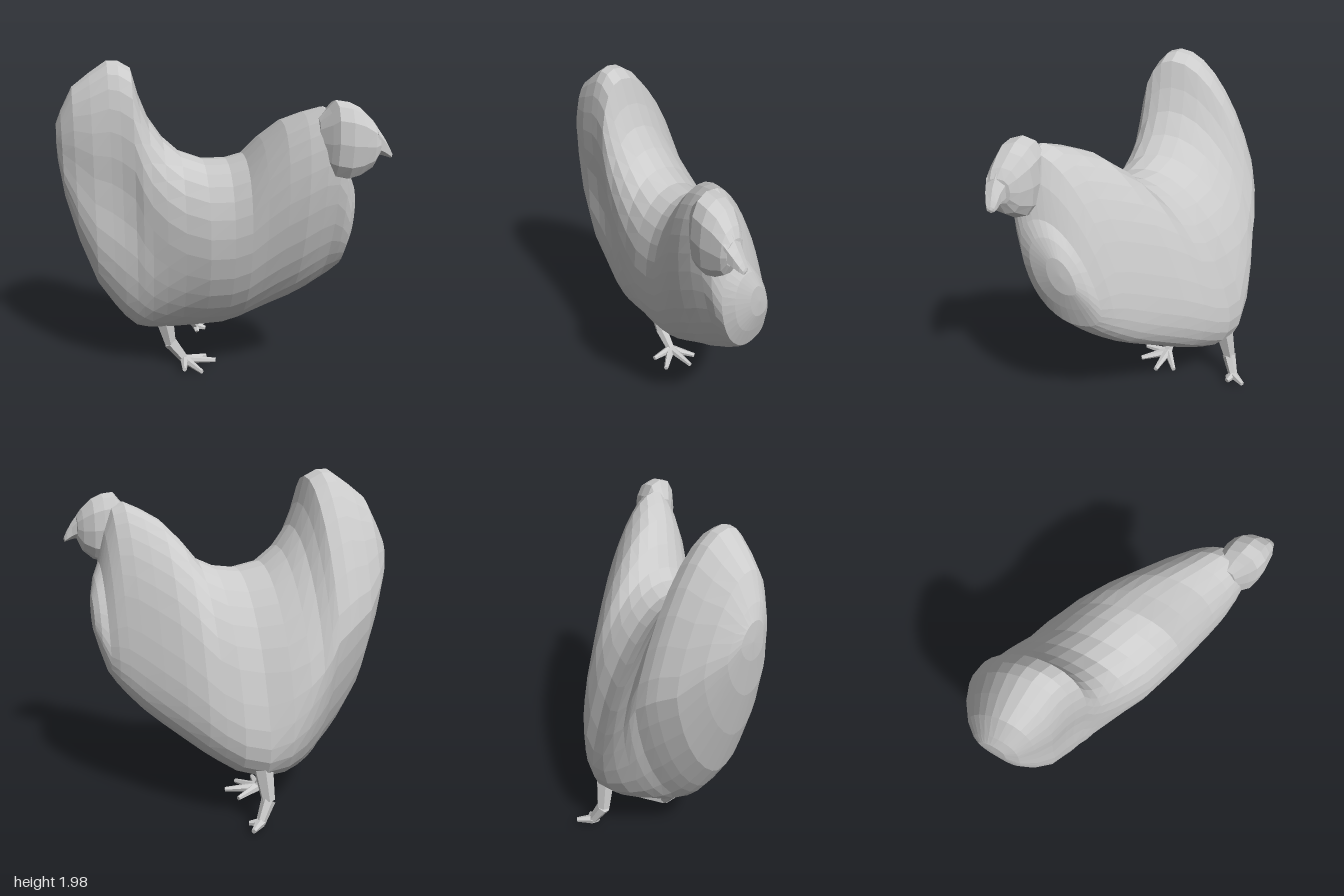
import * as THREE from 'three';

const material = new THREE.MeshStandardMaterial({ color: 0xcccccc, flatShading: true });
const power = (v, p) => Math.sign(v) * Math.abs(v) ** p;
const { clamp, smoothstep, lerp } = THREE.MathUtils;

// Skin over upright cross-sections [x, yMin, yMax, zMin, zMax].
// leanAt(x, c) shears the upper and lower half sideways.
// roundness(x, c, s) gives the exponent of each quadrant (1 is an ellipse, 2 a straight chamfer).
function loft(name, stations, sides, leanAt, taper, roundness) {
  const pos = [], index = [];
  for (const [x, y0, y1, z0, z1] of stations) {
    const h = (y1 - y0) / 2, half = (z1 - z0) / 2;
    const ring = [];
    for (let j = 0; j < sides; j++) {
      const a = (j / sides) * Math.PI * 2, c = Math.cos(a), s = Math.sin(a);
      const p = roundness(x, c, s), cy = power(c, p);
      ring.push({ y: h * cy, shear: leanAt(x, c) * h * cy, s: power(s, p) * (1 - taper * cy) });
    }
    // Widest half-sections that stay inside zMin..zMax
    const fit = side => Math.min(...ring.filter(r => r.s * side > 0.2)
      .map(r => (half - side * r.shear) / (r.s * side)));
    const front = fit(1), back = fit(-1);
    for (const r of ring) {
      pos.push(x, (y0 + y1) / 2 + r.y, (z0 + z1) / 2 + r.shear + r.s * (r.s > 0 ? front : back));
    }
  }
  const n = stations.length;
  for (let i = 0; i < n - 1; i++) {
    for (let j = 0; j < sides; j++) {
      const a = i * sides + j, b = i * sides + (j + 1) % sides;
      index.push(a, b, a + sides, b, b + sides, a + sides);
    }
  }
  // End caps
  for (const i of [0, n - 1]) {
    const [x, y0, y1, z0, z1] = stations[i];
    const centre = pos.length / 3;
    pos.push(x + (i ? 0.005 : -0.005), (y0 + y1) / 2, (z0 + z1) / 2);
    for (let j = 0; j < sides; j++) {
      const a = i * sides + j, b = i * sides + (j + 1) % sides;
      if (i) index.push(centre, a, b);
      else index.push(centre, b, a);
    }
  }
  const geometry = new THREE.BufferGeometry();
  geometry.setAttribute('position', new THREE.Float32BufferAttribute(pos, 3));
  geometry.setIndex(index);
  geometry.computeVertexNormals();
  const mesh = new THREE.Mesh(geometry, material);
  mesh.name = name;
  return mesh;
}

// Tapered low-poly rod between two points
function rod(name, from, to, r0, r1) {
  const a = new THREE.Vector3(...from), b = new THREE.Vector3(...to);
  const dir = b.clone().sub(a);
  const mesh = new THREE.Mesh(new THREE.CylinderGeometry(r1, r0, dir.length(), 6), material);
  mesh.position.copy(a).add(b).multiplyScalar(0.5);
  mesh.quaternion.setFromUnitVectors(new THREE.Vector3(0, 1, 0), dir.normalize());
  mesh.name = name;
  return mesh;
}

function makeLeg(name, hip, knee, ankle, toes) {
  const leg = new THREE.Group();
  leg.name = name;
  leg.add(rod('thigh', hip, knee, 0.06, 0.04));
  leg.add(rod('shank', knee, ankle, 0.042, 0.028));
  for (const tip of toes) leg.add(rod('toe', ankle, tip, 0.03, 0.014));
  return leg;
}

// The body leans throughout, except low at the rear where the rump tucks forward
const bodyLean = (x, c) => (c > 0 ? 0.26 + 0.09 * x : clamp(0.28 + 0.9 * (x + 0.1), -0.06, 0.3));

// Lower back edge: chamfered under the tail, square under the breast
const bodyRoundness = (x, c, s) =>
  (c < 0 && s < 0 ? lerp(1.25, 0.72, smoothstep(x, -0.45, 0)) : 0.95);

export function createModel() {
  const model = new THREE.Group();
  model.name = 'hen';

  // Body from raised tail, over the saddle, to neck and breast
  model.add(loft('body', [
    [-0.88, 1.40, 1.62, -0.27, -0.11],
    [-0.85, 1.18, 1.70, -0.33, -0.05],
    [-0.78, 0.90, 1.84, -0.42, 0.01],
    [-0.68, 0.61, 1.92, -0.51, 0.06],
    [-0.58, 0.45, 1.99, -0.56, 0.09],
    [-0.52, 0.37, 1.99, -0.58, 0.11],
    [-0.45, 0.30, 1.95, -0.59, 0.14],
    [-0.41, 0.28, 1.80, -0.60, 0.16],
    [-0.36, 0.26, 1.67, -0.60, 0.18],
    [-0.28, 0.25, 1.55, -0.61, 0.22],
    [-0.18, 0.25, 1.46, -0.61, 0.27],
    [-0.05, 0.26, 1.42, -0.59, 0.34],
    [0.08, 0.29, 1.43, -0.54, 0.39],
    [0.17, 0.34, 1.47, -0.48, 0.43],
    [0.25, 0.39, 1.58, -0.42, 0.47],
    [0.35, 0.46, 1.69, -0.32, 0.52],
    [0.45, 0.53, 1.75, -0.21, 0.56],
    [0.54, 0.60, 1.79, -0.11, 0.58],
    [0.61, 0.67, 1.76, -0.03, 0.58],
    [0.66, 0.73, 1.62, 0.03, 0.56],
    [0.70, 0.79, 1.43, 0.09, 0.52],
    [0.74, 0.92, 1.35, 0.14, 0.46],
    [0.77, 1.03, 1.25, 0.20, 0.36],
  ], 30, bodyLean, 0.1, bodyRoundness));

  // Head with a low comb line and cheeks
  const upright = () => 0;
  model.add(loft('head', [
    [0.50, 1.50, 1.74, 0.42, 0.54],
    [0.55, 1.44, 1.80, 0.39, 0.60],
    [0.58, 1.42, 1.84, 0.39, 0.63],
    [0.65, 1.41, 1.83, 0.40, 0.65],
    [0.71, 1.43, 1.80, 0.42, 0.65],
    [0.77, 1.48, 1.74, 0.47, 0.65],
    [0.80, 1.55, 1.69, 0.51, 0.64],
  ], 12, upright, 0, () => 0.8));

  // Hooked beak
  model.add(loft('beak', [
    [0.78, 1.56, 1.72, 0.52, 0.64],
    [0.83, 1.55, 1.65, 0.55, 0.63],
    [0.86, 1.54, 1.60, 0.56, 0.62],
    [0.875, 1.535, 1.57, 0.57, 0.61],
  ], 6, upright, 0, () => 1));

  // Legs with spread toes
  model.add(makeLeg('leftLeg', [-0.27, 0.32, -0.12], [-0.24, 0.17, -0.12], [-0.15, 0.045, -0.11],
    [[-0.06, 0.03, 0.05], [0.05, 0.04, -0.07], [0.0, 0.02, -0.18], [-0.17, 0.05, 0.04]]));
  model.add(makeLeg('rightLeg', [-0.04, 0.36, -0.49], [-0.06, 0.16, -0.53], [0.0, 0.05, -0.57],
    [[0.07, 0.04, -0.64], [0.06, 0.04, -0.54], [0.0, 0.02, -0.53]]));

  return model;
}
